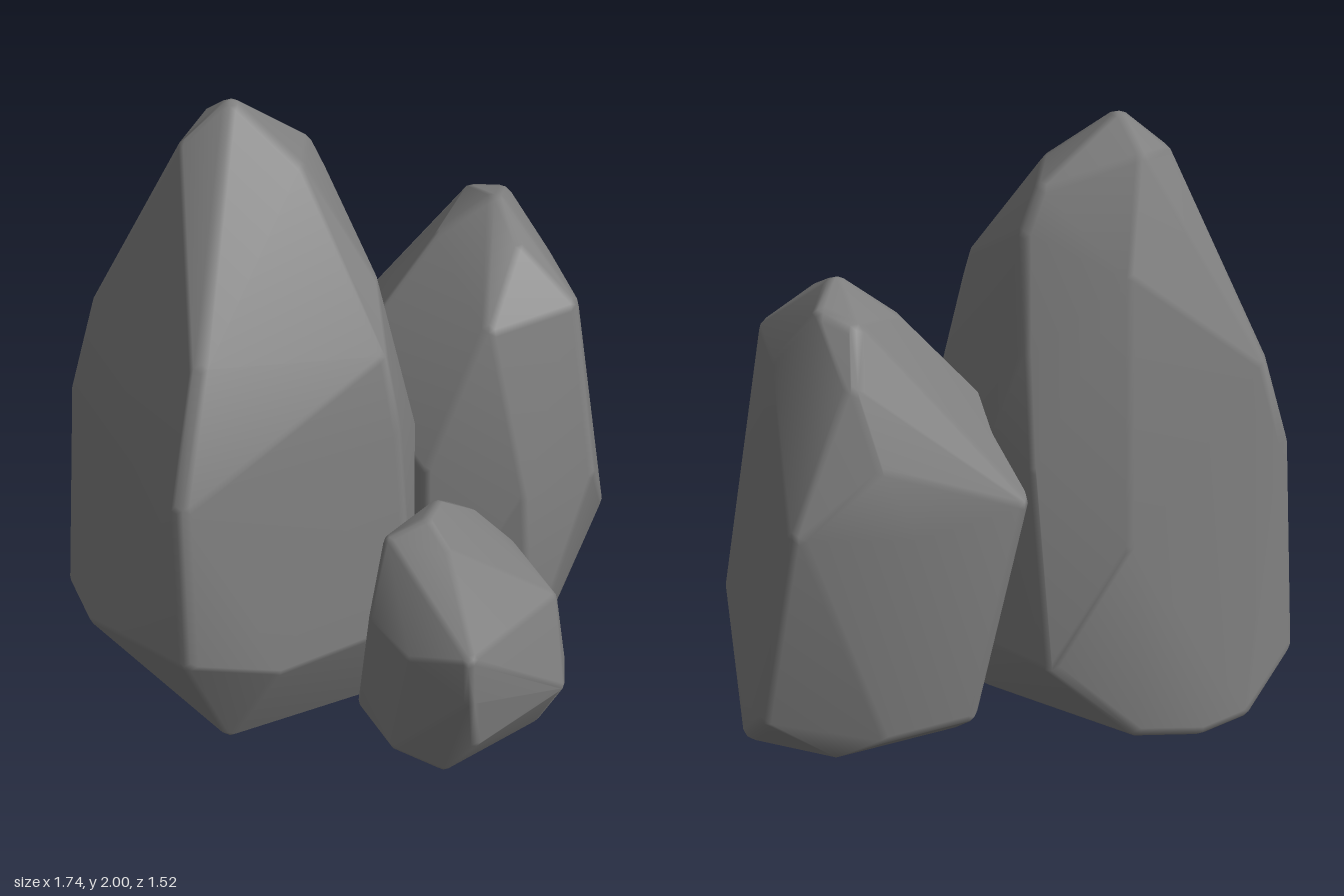
import * as THREE from 'three';
import { mergeVertices } from 'three/addons/utils/BufferGeometryUtils.js';
import { ConvexGeometry } from 'three/addons/geometries/ConvexGeometry.js';

const stone = new THREE.MeshStandardMaterial({ color: 0x808080 });
stone.name = 'stone grey';

// Convex boulder with softly rounded edges: the corners are drawn inwards by the
// rounding radius, a small ball is put on each, and a hull is wrapped round them.
function rock(name, corners, radius) {
  const pts = corners.map((c) => new THREE.Vector3(...c));
  const box = new THREE.Box3().setFromPoints(pts);
  const centre = box.getCenter(new THREE.Vector3());
  const size = box.getSize(new THREE.Vector3());
  const inset = new THREE.Vector3(
    1 - 2 * radius / size.x, 1 - 2 * radius / size.y, 1 - 2 * radius / size.z);

  const ball = new THREE.IcosahedronGeometry(radius, 1);
  ball.deleteAttribute('uv');
  ball.deleteAttribute('normal');
  const ballPos = mergeVertices(ball).getAttribute('position');

  const cloud = [];
  for (const p of pts) {
    const inner = p.clone().sub(centre).multiply(inset).add(centre);
    for (let i = 0; i < ballPos.count; i++) {
      cloud.push(new THREE.Vector3().fromBufferAttribute(ballPos, i).add(inner));
    }
  }

  // Area-weighted normals keep the big facets flat and the edges soft
  let geo = new ConvexGeometry(cloud);
  geo.deleteAttribute('normal');
  geo = mergeVertices(geo, 1e-4);
  geo.computeVertexNormals();

  const mesh = new THREE.Mesh(geo, stone);
  mesh.name = name;
  return mesh;
}

export function createModel() {
  const group = new THREE.Group();
  group.name = 'rockCluster';

  group.add(rock('tallRock', [
    // peak
    [-0.32, 2.0, -0.39], [-0.45, 1.89, -0.42], [-0.07, 1.82, -0.40], [-0.33, 1.92, -0.51],
    [-0.17, 1.83, -0.23],
    // shoulders
    [-0.01, 1.70, -0.42], [-0.25, 1.6, -0.63], [0.03, 1.35, -0.52], [-0.65, 1.38, 0.07],
    [-0.01, 1.48, -0.03], [-0.07, 1.32, 0.16], [-0.69, 1.25, -0.68], [-0.79, 0.98, 0.20],
    [-0.05, 1.07, 0.22], [0.10, 0.95, 0.03], [0.10, 1.05, -0.45], [0.05, 1.0, -0.61],
    [-0.79, 0.95, -0.67], [-0.22, 0.73, -0.74],
    // base
    [-0.80, 0.40, 0.23], [-0.85, 0.36, 0.02], [-0.52, 0.33, 0.29], [-0.03, 0.36, 0.28],
    [0.09, 0.5, 0.05], [-0.87, 0.17, -0.45], [-0.85, 0.18, -0.67], [-0.66, 0.03, -0.75],
    [-0.50, 0.01, -0.76], [-0.27, 0.05, -0.74], [0.0, 0.3, -0.65], [0.08, 0.2, -0.2],
    [-0.62, 0.0, 0.12], [-0.02, 0.0, 0.12], [0.03, 0.01, -0.2], [-0.68, 0.0, -0.55],
  ], 0.045));

  group.add(rock('mediumRock', [
    // peak
    [0.51, 1.55, -0.22], [0.59, 1.51, -0.33], [0.35, 1.43, -0.28], [0.53, 1.49, -0.41],
    [0.50, 1.46, -0.05],
    // shoulders
    [0.62, 1.3, 0.10], [0.32, 1.28, 0.10], [0.68, 1.32, -0.2], [0.57, 1.34, -0.52],
    [0.52, 1.1, -0.60], [0.77, 0.9, -0.55], [0.42, 0.88, -0.65], [0.05, 0.9, -0.62],
    [0.0, 1.03, -0.3], [0.64, 0.7, 0.23], [0.38, 0.7, 0.25], [0.1, 0.8, 0.1],
    // base
    [0.80, 0.42, 0.03], [0.87, 0.2, -0.32], [0.85, 0.2, -0.44], [0.42, 0.09, 0.25],
    [0.1, 0.09, 0.1], [0.84, 0.02, -0.22], [0.45, 0.02, 0.2], [0.2, 0.02, 0.15],
    [0.5, 0.12, -0.56], [0.2, 0.12, -0.55], [0.2, 0.02, -0.42], [0.62, 0.02, -0.43],
  ], 0.045));

  group.add(rock('smallRock', [
    // peak
    [-0.04, 0.82, 0.33], [-0.15, 0.77, 0.3], [0.06, 0.79, 0.22], [0.2, 0.7, 0.2],
    [0.15, 0.7, 0.13], [-0.03, 0.77, 0.45],
    // sides
    [-0.1, 0.57, 0.76], [-0.09, 0.4, 0.75], [-0.23, 0.52, 0.35], [-0.21, 0.5, 0.58],
    [0.32, 0.57, 0.25], [0.35, 0.5, 0.5], [0.38, 0.34, 0.22],
    // base
    [0.41, 0.2, 0.47], [0.39, 0.05, 0.33], [-0.22, 0.07, 0.48], [-0.05, 0.18, 0.70],
    [0.34, 0.2, 0.59], [0.3, 0.02, 0.5], [-0.1, 0.02, 0.59], [0.2, 0.02, 0.13],
    [-0.2, 0.04, 0.2],
  ], 0.035));

  return group;
}
